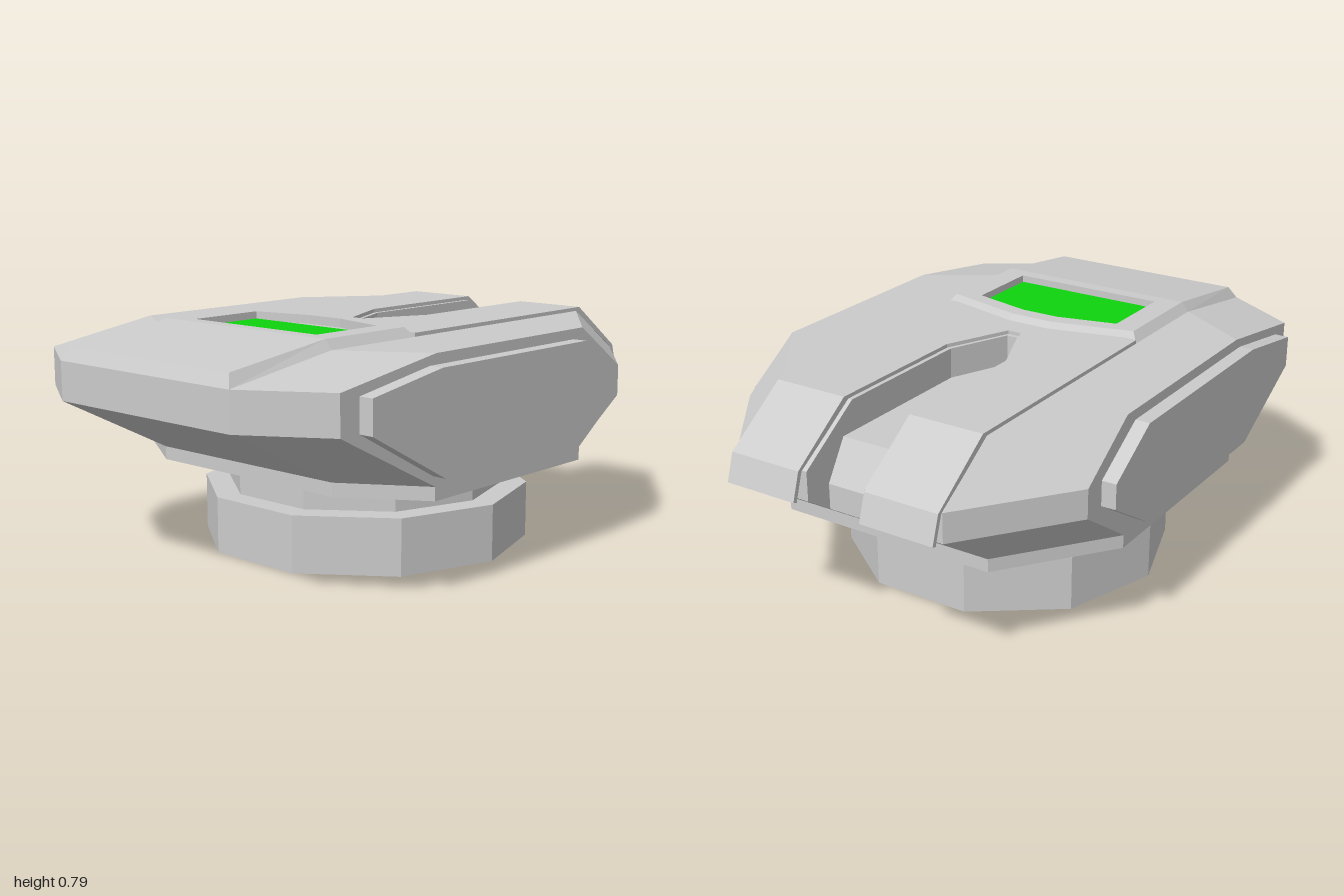
import * as THREE from 'three';

const grey = new THREE.MeshStandardMaterial({ color: 0xcccccc, flatShading: true, side: THREE.DoubleSide });
const green = new THREE.MeshStandardMaterial({ color: 0x0fd40f });

// Skin a list of equal-length rings of [x, y, z] points
function loft(rings, { closed = true, caps = false } = {}) {
  const pos = [];
  const tri = (...pts) => pts.forEach(p => pos.push(...p));
  for (let r = 0; r + 1 < rings.length; r++) {
    const A = rings[r], B = rings[r + 1], n = A.length;
    for (let i = 0; i < (closed ? n : n - 1); i++) {
      const j = (i + 1) % n;
      tri(A[i], A[j], B[j]);
      tri(A[i], B[j], B[i]);
    }
  }
  if (caps) {
    const A = rings[0], B = rings[rings.length - 1];
    for (let i = 1; i + 1 < A.length; i++) {
      tri(A[0], A[i + 1], A[i]);
      tri(B[0], B[i], B[i + 1]);
    }
  }
  const g = new THREE.BufferGeometry();
  g.setAttribute('position', new THREE.Float32BufferAttribute(pos, 3));
  g.computeVertexNormals();
  return g;
}

const toPoints = pts => pts.map(([a, b]) => new THREE.Vector2(a, b));

// Side profile of [z, y] points, extruded from x0 to x1
function sideExtrude(pts, x0, x1) {
  const shape = new THREE.Shape(toPoints(pts.map(([z, y]) => [-z, y])));
  return new THREE.ExtrudeGeometry(shape, { depth: x1 - x0, bevelEnabled: false })
    .rotateY(Math.PI / 2).translate(x0, 0, 0);
}

// Plan outline of [x, z] points, extruded from y0 to y1
function planExtrude(pts, y0, y1, hole) {
  const flip = list => toPoints(list.map(([x, z]) => [x, -z]));
  const shape = new THREE.Shape(flip(pts));
  if (hole) shape.holes.push(new THREE.Path(flip(hole)));
  return new THREE.ExtrudeGeometry(shape, { depth: y1 - y0, bevelEnabled: false })
    .rotateX(-Math.PI / 2).translate(0, y0, 0);
}

// Half outline mirrored to a full one
const mirror = half => [...half, ...half.map(([x, ...r]) => [-x, ...r]).reverse()];

export function createModel() {
  const model = new THREE.Group();
  const add = (name, geometry, material = grey) => {
    const m = new THREE.Mesh(geometry, material);
    m.name = name;
    model.add(m);
    return m;
  };

  // Ten-sided base, neck and flared collar
  const drum = (name, rTop, rBottom, y0, y1) =>
    add(name, new THREE.CylinderGeometry(rTop, rBottom, y1 - y0, 10, 1, false, Math.PI / 2)
      .translate(0, (y0 + y1) / 2, 0));
  drum('base', 0.57, 0.57, 0.002, 0.195);
  drum('neck', 0.485, 0.485, 0.195, 0.265);
  drum('collar', 0.525, 0.485, 0.265, 0.3);
  add('basePad', new THREE.PlaneGeometry(0.71, 0.5).rotateX(Math.PI / 2), green);

  // Plate under the hull
  add('hullPlate', planExtrude(mirror([[0.39, 0.58], [0.66, 0.41], [0.66, -0.36], [0.39, -0.72]]), 0.3, 0.345));

  // Hull: full sections outside, notched ones along the rear slot
  const full = (x, front = 0, back = 0) => [
    [1 - front, 0.69], [1 - front, 0.56], [0.58 - front, 0.345], [-0.72 + back, 0.345],
    [-0.85 + back, 0.433], [-0.95 + back, 0.5], [-0.95 + back, 0.6], [-0.72 + back, 0.755],
    [-0.19, 0.755], [0.58 - front, 0.755],
  ].map(([z, y]) => [x, y, z]);
  const notched = (x, tip) => [
    [1, 0.69], [1, 0.56], [0.58, 0.345], [-0.72, 0.345],
    [-0.85, 0.433], [-0.85, 0.52], [-0.77, 0.65], [tip, 0.65],
    [tip, 0.755], [0.58, 0.755],
  ].map(([z, y]) => [x, y, z]);
  add('hull', loft([
    full(-0.66, 0.17, 0.36), full(-0.39), full(-0.11),
    notched(-0.11, -0.19), notched(-0.02, 0.02), notched(0.02, 0.02), notched(0.11, -0.19),
    full(0.11), full(0.39), full(0.66, 0.17, 0.36),
  ], { caps: true }));

  // Side panels
  const sidePanel = [[0.75, 0.67], [0.44, 0.72], [-0.31, 0.72], [-0.51, 0.595],
    [-0.51, 0.51], [-0.3, 0.38], [0.42, 0.38], [0.75, 0.56]];
  add('leftSidePanel', sideExtrude(sidePanel, 0.65, 0.71));
  add('rightSidePanel', sideExtrude(sidePanel, -0.71, -0.65));

  // Rear deck: two bent strips joined ahead of the slot
  const strip = [[0.19, 0.768], [-0.74, 0.768], [-0.97, 0.605], [-1, 0.512],
    [-0.985, 0.507], [-0.955, 0.6], [-0.72, 0.752], [0.19, 0.752]];
  add('leftDeckStrip', sideExtrude(strip, 0.125, 0.39));
  add('rightDeckStrip', sideExtrude(strip, -0.39, -0.125));
  add('deckBridge', planExtrude(mirror([[0.025, 0.035], [0.125, -0.19], [0.125, 0.19]]), 0.752, 0.768));

  // Raised front panel: bevelled rim, sloped nose and flat top with a recess
  const rim = (w, y, yFront, front, side, mid) => [
    [-w, yFront, front], [w, yFront, front], [w, y, 0.58], [w, y, side],
    [0.08, y, mid], [-0.08, y, mid], [-w, y, side], [-w, y, 0.58],
  ];
  const top = rim(0.365, 0.787, 0.733, 0.975, 0.215, 0.145);
  add('panelRim', loft([rim(0.39, 0.755, 0.69, 1, 0.19, 0.11), top]));
  add('panelNose', loft([[top[7], top[0]], [top[2], top[1]]], { closed: false }));
  add('panelTop', planExtrude(
    mirror([[0.08, 0.145], [0.365, 0.215], [0.365, 0.58]]), 0.757, 0.787,
    mirror([[0.07, 0.2], [0.28, 0.25], [0.28, 0.53]])));
  add('screen', new THREE.PlaneGeometry(0.56, 0.28).rotateX(-Math.PI / 2).translate(0, 0.762, 0.39), green);

  return model;
}
